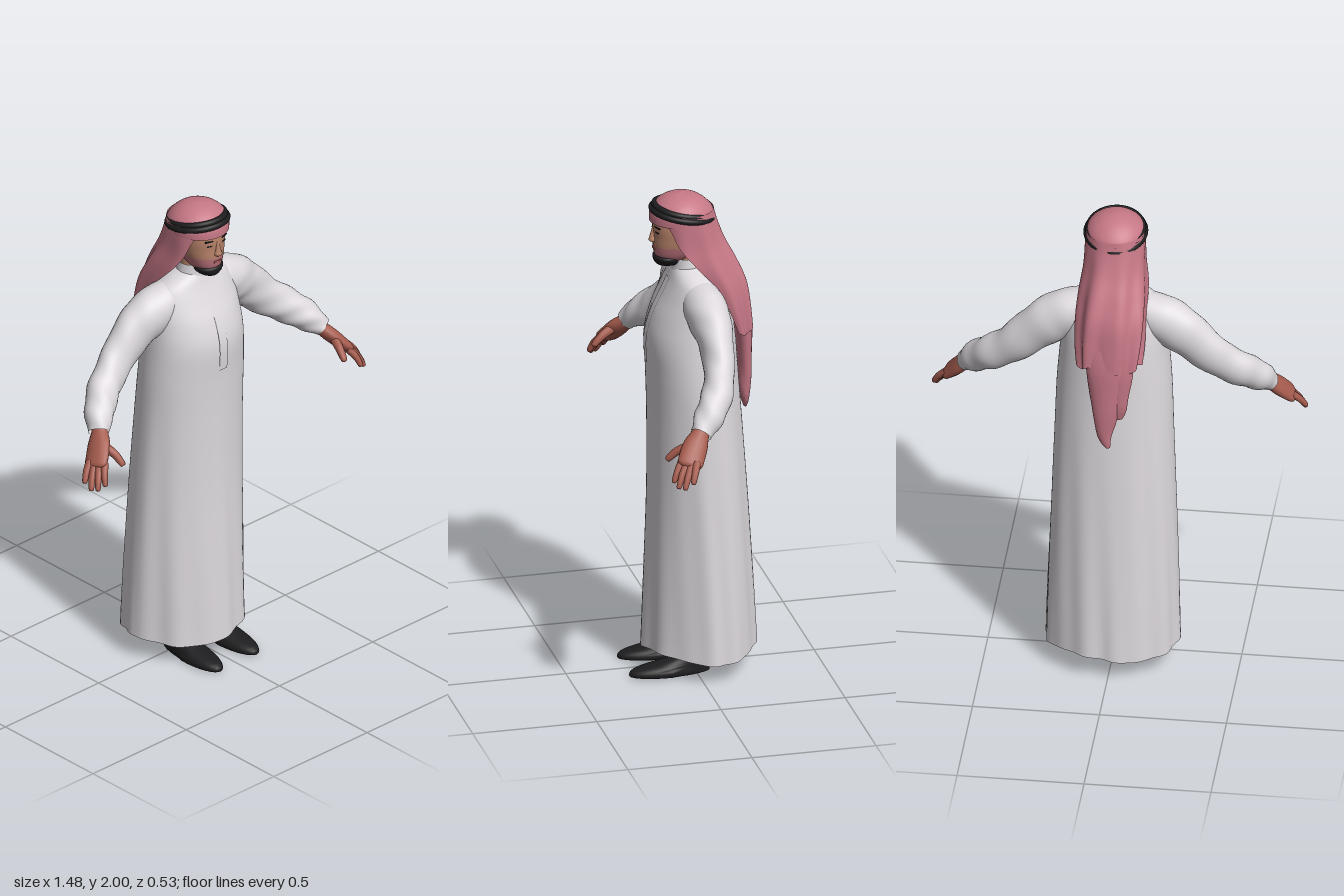
import * as THREE from 'three';

const mat = (name, color, side = THREE.FrontSide) => {
  const m = new THREE.MeshStandardMaterial({ color, side });
  m.name = name;
  return m;
};

// Catmull-Rom resampling of rows of numbers
function resample(rows, steps) {
  const out = [], n = rows.length - 1;
  for (let i = 0; i <= n * steps; i++) {
    const k = Math.min(Math.floor(i / steps), n - 1), t = i / steps - k;
    const [a, b, c, d] = [k - 1, k, k + 1, k + 2].map((j) => rows[Math.max(0, Math.min(n, j))]);
    out.push(b.map((_, q) => 0.5 * (2 * b[q] + (c[q] - a[q]) * t
      + (2 * a[q] - 5 * b[q] + 4 * c[q] - d[q]) * t * t
      + (3 * b[q] - a[q] - 3 * c[q] + d[q]) * t * t * t)));
  }
  return out;
}

const signedPow = (v, p) => Math.sign(v) * Math.abs(v) ** p;

// Grid of points, point(i, j), as a smooth surface; wrap closes each row
function grid(rows, cols, point, wrap) {
  const pos = [], idx = [], w = wrap ? cols : cols + 1;
  for (let i = 0; i <= rows; i++) for (let j = 0; j < w; j++) pos.push(...point(i, j));
  for (let i = 0; i < rows; i++) for (let j = 0; j < cols; j++) {
    const k = (j + 1) % w, a = i * w + j, b = i * w + k, c = b + w, d = a + w;
    idx.push(a, b, c, a, c, d);
  }
  const g = new THREE.BufferGeometry();
  g.setAttribute('position', new THREE.Float32BufferAttribute(pos, 3));
  g.setIndex(idx);
  g.computeVertexNormals();
  return g;
}

// Upright body from rows [y, halfWidth, zFront, zBack]; power(y) squares or sharpens the plan
function upright(rows, { n = 32, power = () => 2, steps = 4, warp = null } = {}) {
  const R = resample(rows, steps);
  return grid(R.length - 1, n, (i, j) => {
    const [y, rx, zf, zb] = R[i], a = (j / n) * Math.PI * 2, e = 2 / power(y);
    const p = [rx * signedPow(Math.sin(a), e), y,
      (zf + zb) / 2 + ((zf - zb) / 2) * signedPow(Math.cos(a), e)];
    return warp ? warp(p, a) : p;
  }, true);
}

// Limb along rows [x, y, z, widthTowardsFront, thickness]
function limb(rows, { n = 16, steps = 4, wrinkle = 0 } = {}) {
  const R = resample(rows, steps), V = R.map((r) => new THREE.Vector3(r[0], r[1], r[2]));
  const last = R.length - 1, front = new THREE.Vector3(0, 0, 1);
  return grid(last, n, (i, j) => {
    const t = V[Math.min(last, i + 1)].clone().sub(V[Math.max(0, i - 1)]).normalize();
    const s = t.clone().cross(front).normalize(), v = s.clone().cross(t);
    const a = (j / n) * Math.PI * 2;
    const k = 1 + wrinkle * (i / last) * Math.sin(i * 0.9 + Math.sin(a) * 2.2 + 2 * a);
    return V[i].clone().addScaledVector(v, Math.max(0.0005, R[i][3]) * k * Math.cos(a))
      .addScaledVector(s, Math.max(0.0005, R[i][4]) * k * Math.sin(a)).toArray();
  }, true);
}

export function createModel() {
  const root = new THREE.Group();
  root.name = 'robedMan';
  const robeM = mat('robeWhite', 0xdcd8dc, THREE.DoubleSide);
  const trimM = mat('seamGrey', 0x8f8b90, THREE.DoubleSide);
  const clothM = mat('headclothPink', 0xc67886, THREE.DoubleSide);
  const blackM = mat('black', 0x1d1d1f);
  const faceM = mat('faceSkin', 0xb9836a);
  const rosyM = mat('rosySkin', 0xb8717a);
  const handM = mat('handSkin', 0xa65c4e);
  const add = (name, geo, m, parent = root) => {
    const mesh = new THREE.Mesh(geo, m);
    mesh.name = name;
    parent.add(mesh);
    return mesh;
  };

  // Long robe with soft folds that deepen towards the hem
  const robeRows = [
    [0.1, 0.265, 0.195, -0.255], [0.4, 0.257, 0.183, -0.24], [0.75, 0.245, 0.17, -0.22],
    [1.05, 0.234, 0.168, -0.2], [1.25, 0.227, 0.172, -0.185], [1.4, 0.216, 0.178, -0.175],
    [1.5, 0.208, 0.155, -0.16], [1.58, 0.2, 0.118, -0.135], [1.64, 0.175, 0.09, -0.105],
    [1.672, 0.128, 0.078, -0.08], [1.7, 0.07, 0.066, -0.058],
  ];
  const skirt = (y) => THREE.MathUtils.clamp((1.25 - y) / 1.1, 0, 1);
  const robePower = (y) => 2.05 - 0.23 * skirt(y);
  add('robe', upright(robeRows, {
    n: 96, power: robePower, steps: 6,
    warp: ([x, y, z], a) => {
      const low = skirt(y);
      const k = 1 + low * (0.018 * Math.cos(9 * a + 0.6) + 0.012 * Math.sin(14 * a + y * 2));
      const hem = y < 0.3 ? (0.3 - y) * (0.05 * Math.sin(3 * a) - 0.02) : 0;
      const sideSetBack = 0.03 * low * Math.sin(a) ** 2;
      return [x * k, y + hem, z * k - sideSetBack];
    },
  }), robeM);

  // Thin placket that follows the chest
  const dense = resample(robeRows, 6);
  const chestZ = (x, y) => {
    const i = Math.max(1, dense.findIndex((r) => r[0] >= y)), A = dense[i - 1], B = dense[i];
    const [, rx, zf, zb] = A.map((v, q) => v + (B[q] - v) * ((y - A[0]) / (B[0] - A[0])));
    const p = robePower(y), k = (1 - Math.abs(x / rx) ** p) ** (1 / p);
    return (zf + zb) / 2 + ((zf - zb) / 2) * k;
  };
  const patch = (name, x0, x1, y0, y1, off, m) => add(name, grid(14, 6, (i, j) => {
    const x = x0 + ((x1 - x0) * j) / 6, y = y0 + ((y1 - y0) * i) / 14;
    return [x, y, chestZ(x, y) + off];
  }, false), m);
  patch('placket', -0.02, 0.022, 1.3, 1.65, 0.004, robeM);
  patch('placketSeam', -0.023, -0.018, 1.32, 1.53, 0.006, trimM);

  // Collar and neck
  add('collar', upright([[1.66, 0.088, 0.08, -0.065], [1.69, 0.074, 0.074, -0.055],
    [1.735, 0.066, 0.072, -0.05]]), robeM);
  add('neck', upright([[1.66, 0.056, 0.058, -0.045], [1.8, 0.056, 0.062, -0.045]]), faceM);

  // Arms, hands and feet on both sides
  for (const s of [1, -1]) {
    const side = new THREE.Group();
    side.name = s > 0 ? 'leftLimbs' : 'rightLimbs';
    root.add(side);
    const flip = (rows) => rows.map(([x, ...r]) => [x * s, ...r]);
    add('sleeve', limb(flip([
      [0.06, 1.615, -0.01, 0.06, 0.055], [0.14, 1.585, -0.015, 0.082, 0.082],
      [0.22, 1.545, -0.022, 0.084, 0.096], [0.3, 1.487, -0.028, 0.07, 0.09],
      [0.4, 1.395, -0.018, 0.06, 0.077], [0.49, 1.327, 0.015, 0.062, 0.07],
      [0.555, 1.272, 0.062, 0.058, 0.06], [0.6, 1.222, 0.105, 0.042, 0.038],
    ]), { n: 32, steps: 6, wrinkle: 0.06 }), robeM, side);
    add('palm', limb(flip([
      [0.575, 1.25, 0.088, 0.03, 0.027], [0.595, 1.22, 0.107, 0.036, 0.028],
      [0.62, 1.19, 0.13, 0.048, 0.029], [0.65, 1.155, 0.153, 0.051, 0.026],
      [0.677, 1.127, 0.17, 0.045, 0.019], [0.684, 1.12, 0.174, 0.001, 0.001],
    ])), handM, side);
    const fingers = {
      indexFinger: [[0.652, 1.14, 0.195], [0.674, 1.105, 0.219], [0.685, 1.07, 0.235]],
      middleFinger: [[0.667, 1.13, 0.18], [0.696, 1.093, 0.206], [0.712, 1.055, 0.222]],
      ringFinger: [[0.677, 1.13, 0.162], [0.708, 1.092, 0.184], [0.727, 1.053, 0.2]],
      littleFinger: [[0.68, 1.14, 0.142], [0.712, 1.108, 0.156], [0.732, 1.075, 0.168]],
      thumb: [[0.618, 1.19, 0.15], [0.602, 1.163, 0.202], [0.594, 1.13, 0.238]],
    };
    for (const [name, [a, b, c]] of Object.entries(fingers)) {
      const tip = c.map((v, q) => v + (v - b[q]) * 0.12), w = name === 'thumb' ? 1.35 : 1.1;
      add(name, limb(flip([[...a, 0.015 * w, 0.014 * w], [...b, 0.0125 * w, 0.012 * w],
        [...c, 0.009 * w, 0.009 * w], [...tip, 0.001, 0.001]]), { n: 10 }), handM, side);
    }
    add('shoe', upright([
      [0.006, 0.001, 0.11, 0.1], [0.006, 0.05, 0.25, -0.045], [0.02, 0.06, 0.268, -0.05],
      [0.038, 0.056, 0.245, -0.05], [0.056, 0.05, 0.165, -0.05], [0.08, 0.045, 0.09, -0.05],
      [0.12, 0.043, 0.06, -0.05], [0.2, 0.043, 0.055, -0.045],
    ], {
      steps: 3,
      warp: ([x, y, z]) => [x * (z < 0.1 ? 0.9 : 1) + s * (0.092 + 0.02 * z), Math.max(0, y), z],
    }), blackM, side);
  }

  // Face, rosy around the mouth and jaw
  const head = new THREE.Group();
  head.name = 'head';
  root.add(head);
  const face = upright([
    [1.715, 0.001, 0.09, 0.08], [1.72, 0.035, 0.125, 0.03], [1.75, 0.062, 0.143, -0.02],
    [1.79, 0.077, 0.148, -0.04], [1.83, 0.086, 0.148, -0.055], [1.87, 0.09, 0.15, -0.06],
    [1.93, 0.088, 0.145, -0.06],
  ], { power: () => 2.2 });
  const split = 12 * 32 * 6;
  face.addGroup(0, split, 0);
  face.addGroup(split, face.index.count - split, 1);
  add('face', face, [rosyM, faceM], head);
  add('nose', upright([[1.8, 0.003, 0.15, 0.13], [1.808, 0.018, 0.166, 0.13],
    [1.83, 0.011, 0.162, 0.13], [1.87, 0.008, 0.15, 0.13]], { n: 12 }), faceM, head);
  add('beard', upright([[1.7, 0.001, 0.1, 0.09], [1.704, 0.03, 0.13, 0.045],
    [1.722, 0.052, 0.146, 0.035], [1.742, 0.059, 0.149, 0.045], [1.752, 0.03, 0.138, 0.07]],
  { n: 24 }), blackM, head);
  const plate = (name, w, h, x, y, z, m, turn = 0) => {
    const mesh = add(name, new THREE.BoxGeometry(w, h, 0.006), m, head);
    mesh.position.set(x, y, z);
    mesh.rotation.y = turn;
  };
  for (const s of [1, -1]) {
    plate('eye', 0.02, 0.005, s * 0.037, 1.852, 0.141, blackM, s * 0.3);
    plate('eyebrow', 0.034, 0.005, s * 0.04, 1.873, 0.141, blackM, s * 0.3);
  }
  plate('mouth', 0.036, 0.007, 0, 1.775, 0.146, handM);

  // Headcloth: crown over the skull
  add('headclothCrown', upright([
    [1.89, 0.118, 0.162, -0.095], [1.93, 0.117, 0.158, -0.09], [1.965, 0.094, 0.132, -0.06],
    [1.99, 0.052, 0.09, -0.018], [2.0, 0.001, 0.04, 0.038],
  ], { n: 40 }), clothM, head);

  // Drape rows: [y, halfWidth, zCentre, depth, halfAngle]
  const drape = resample([
    [1.935, 0.118, 0.03, 0.122, 2.7], [1.88, 0.12, 0.02, 0.125, 2.3], [1.8, 0.122, 0, 0.135, 2.05],
    [1.71, 0.133, -0.035, 0.146, 1.75], [1.62, 0.137, -0.085, 0.132, 1.57],
    [1.52, 0.133, -0.13, 0.102, 1.57], [1.43, 0.122, -0.165, 0.074, 1.57],
  ], 6);
  add('headclothDrape', grid(drape.length - 1, 72, (i, j) => {
    const [y, w, zc, d, A] = drape[i], a = (1 - j / 36) * A, t = i / (drape.length - 1);
    const k = 1 + t * 0.08 * Math.sin(a * 8 + y * 6), p = 1 - 0.25 * t;
    return [w * k * signedPow(Math.sin(a), p), y + t * 0.015 * Math.sin(a * 4),
      zc - d * k * signedPow(Math.cos(a), p)];
  }, false), clothM, head);

  // Hanging tails of the headcloth
  add('longTail', limb([[0, 1.55, -0.19, 0.03, 0.085], [0.01, 1.42, -0.21, 0.034, 0.08],
    [0.01, 1.27, -0.212, 0.03, 0.055], [0.015, 1.14, -0.217, 0.022, 0.035],
    [0, 1.07, -0.222, 0.006, 0.008]], { n: 24, wrinkle: 0.12 }), clothM, head);
  add('shortTail', limb([[-0.04, 1.55, -0.19, 0.025, 0.055], [-0.045, 1.4, -0.205, 0.028, 0.05],
    [-0.035, 1.27, -0.207, 0.022, 0.04], [-0.03, 1.2, -0.207, 0.012, 0.025]],
  { n: 24, wrinkle: 0.12 }), clothM, head);

  // Doubled black head cord, tilted up at the front
  const cord = new THREE.Group();
  cord.name = 'headCord';
  cord.position.set(0, 1.925, 0.03);
  cord.rotation.x = -0.18;
  head.add(cord);
  for (const [y, r] of [[-0.008, 0.117], [0.009, 0.109]]) {
    const g = new THREE.TorusGeometry(r, 0.0125, 10, 56);
    g.rotateX(Math.PI / 2).scale(0.98, 1, 1.04).translate(0, y, 0);
    add('cordLoop', g, blackM, cord);
  }
  return root;
}
